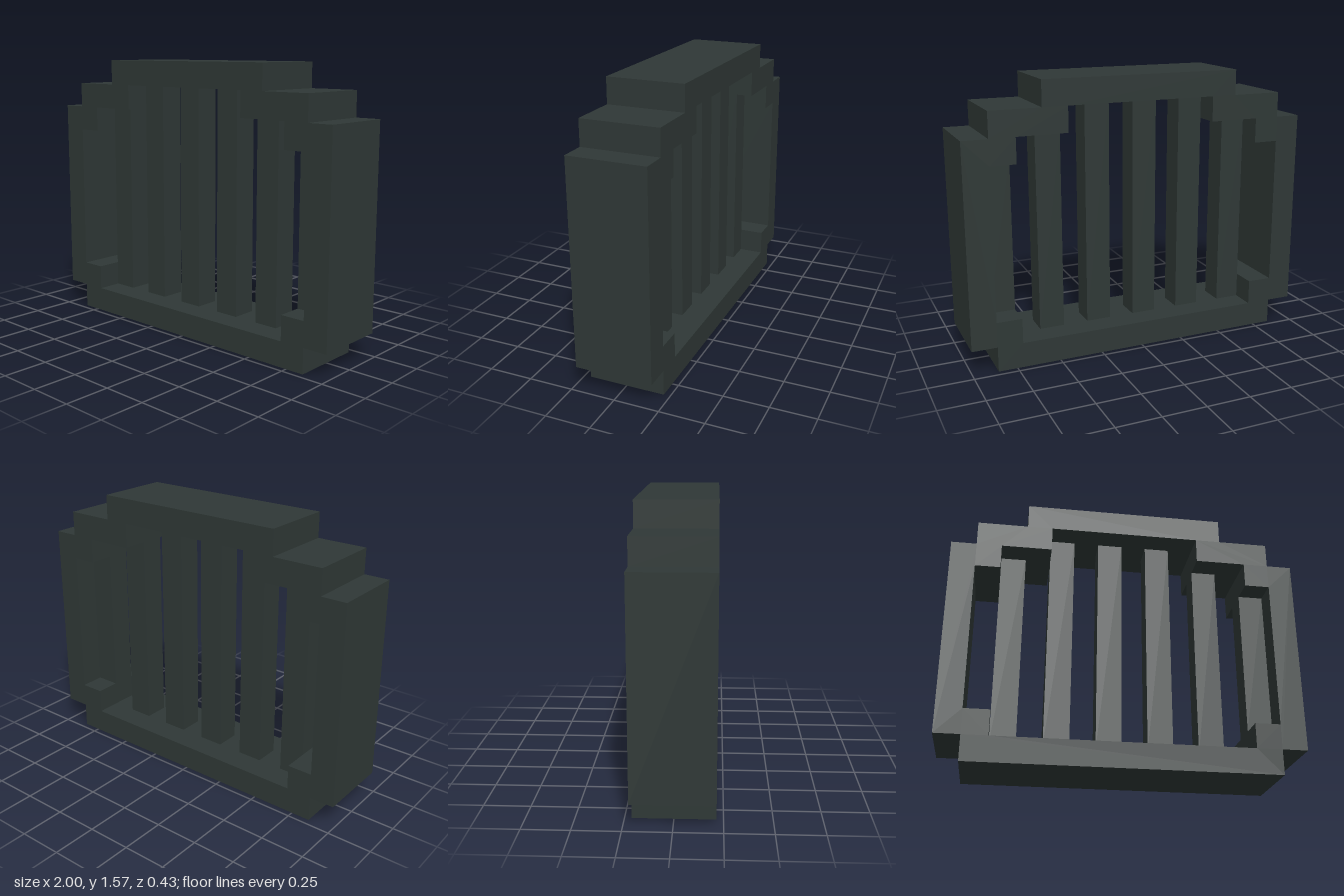
import * as THREE from 'three';

const U = 1 / 7; // grid unit: the grate is 14 wide, 11 high, 3 deep

// Mirror the right-hand half of an outline to get the whole loop
function mirrored(half) {
  const left = half.map(([x, y]) => [-x, y]).reverse();
  return [...half, ...left].map(([x, y]) => new THREE.Vector2(x * U, y * U));
}

export function createModel() {
  const group = new THREE.Group();
  group.name = 'grate';
  const iron = new THREE.MeshStandardMaterial({ color: 0x2f3836 });
  iron.name = 'dark iron';

  // Stepped frame with a stepped opening
  const shape = new THREE.Shape(mirrored([
    [6, 0], [6, 1], [7, 1], [7, 9], [6, 9], [6, 10], [4, 10], [4, 11],
  ]));
  shape.holes.push(new THREE.Path(mirrored([
    [5, 1], [5, 2], [6, 2], [6, 8], [5, 8], [5, 9], [3, 9], [3, 10],
  ])));
  const frameGeo = new THREE.ExtrudeGeometry(shape, { depth: 3 * U, bevelEnabled: false });
  frameGeo.translate(0, 0, -1.5 * U);
  const frame = new THREE.Mesh(frameGeo, iron);
  frame.name = 'frame';
  group.add(frame);

  // Upright bars set in the middle of the depth: [left edge, bottom, top]
  const bars = [[-5, 1, 9], [-3, 1, 10], [-1, 1, 10], [1, 1, 10], [3, 1, 9], [5, 2, 8]];
  bars.forEach(([x, y0, y1], i) => {
    const bar = new THREE.Mesh(new THREE.BoxGeometry(U, (y1 - y0) * U, U), iron);
    bar.position.set((x + 0.5) * U, (y0 + y1) / 2 * U, 0);
    bar.name = 'bar' + (i + 1);
    group.add(bar);
  });

  return group;
}
